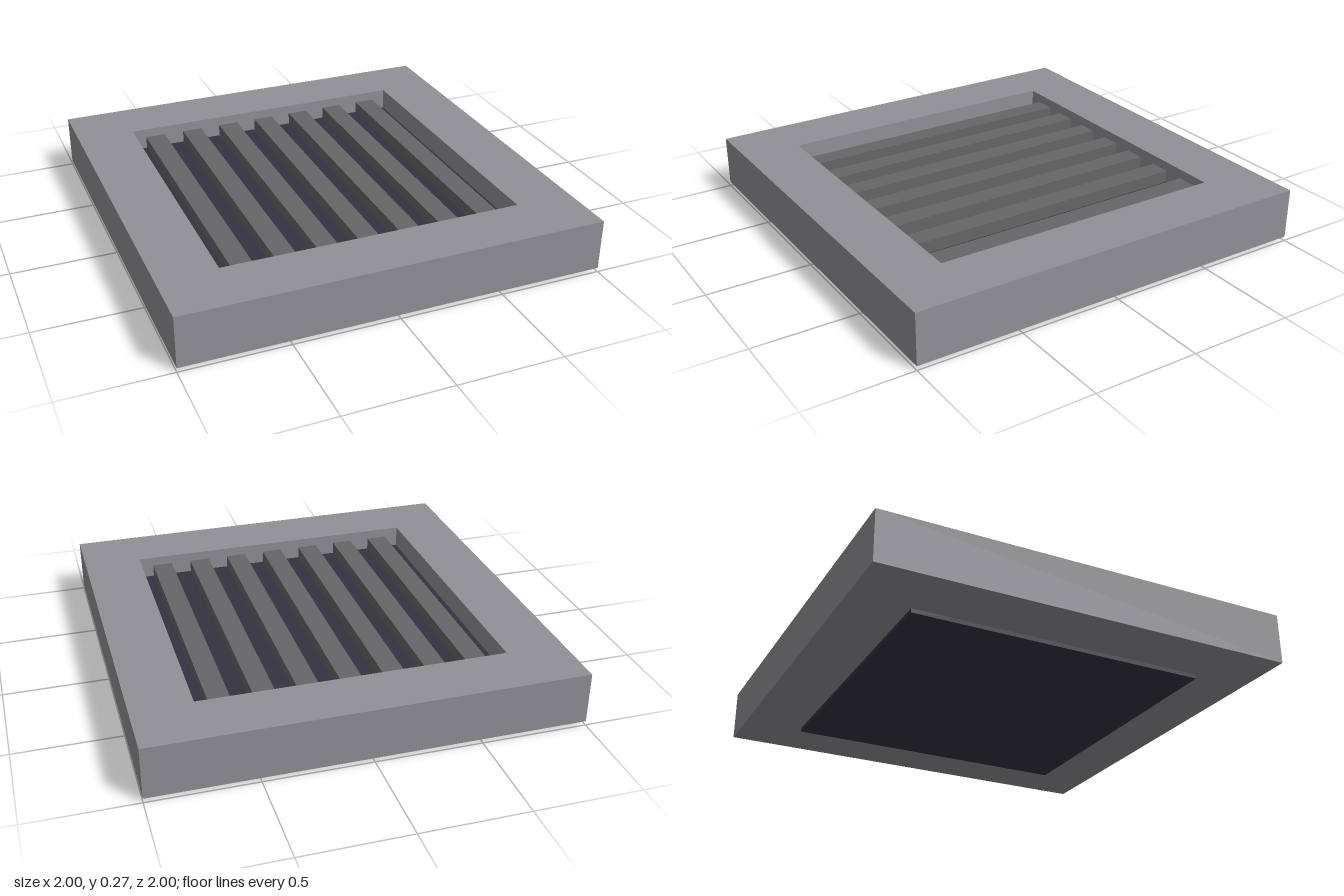
import * as THREE from 'three';

const frameGrey = new THREE.MeshStandardMaterial({ color: 0x919196 });
frameGrey.name = 'frame grey';
const barGrey = new THREE.MeshStandardMaterial({ color: 0x666668 });
barGrey.name = 'bar grey';
const darkBase = new THREE.MeshStandardMaterial({ color: 0x353340 });
darkBase.name = 'dark base';

const OPENING = 0.72, FRAME_BOTTOM = 0.02, FRAME_TOP = 0.265;
const FLOOR = 0.16, BAR_TOP = 0.22;

function box(name, material, width, bottom, top, depth, x = 0) {
  const mesh = new THREE.Mesh(new THREE.BoxGeometry(width, top - bottom, depth), material);
  mesh.name = name;
  mesh.position.set(x, (bottom + top) / 2, 0);
  return mesh;
}

function square(target, half) {
  target.moveTo(-half, -half);
  target.lineTo(half, -half);
  target.lineTo(half, half);
  target.lineTo(-half, half);
  target.closePath();
  return target;
}

export function createModel() {
  const group = new THREE.Group();
  group.name = 'floorGrate';

  // Square frame with a square opening
  const outline = square(new THREE.Shape(), 1);
  outline.holes.push(square(new THREE.Path(), OPENING));
  const frameGeometry = new THREE.ExtrudeGeometry(outline, {
    depth: FRAME_TOP - FRAME_BOTTOM, bevelEnabled: false,
  });
  frameGeometry.rotateX(-Math.PI / 2);
  const frame = new THREE.Mesh(frameGeometry, frameGrey);
  frame.name = 'frame';
  frame.position.y = FRAME_BOTTOM;
  group.add(frame);

  // Dark base filling the opening and standing slightly below the frame
  group.add(box('base', darkBase, OPENING * 2, 0, FLOOR, OPENING * 2));

  // Seven parallel bars running front to back
  const bars = new THREE.Group();
  bars.name = 'bars';
  for (let i = -3; i <= 3; i++) {
    bars.add(box('bar', barGrey, 0.1, FLOOR, BAR_TOP, OPENING * 2, i * 0.2));
  }
  group.add(bars);

  return group;
}
